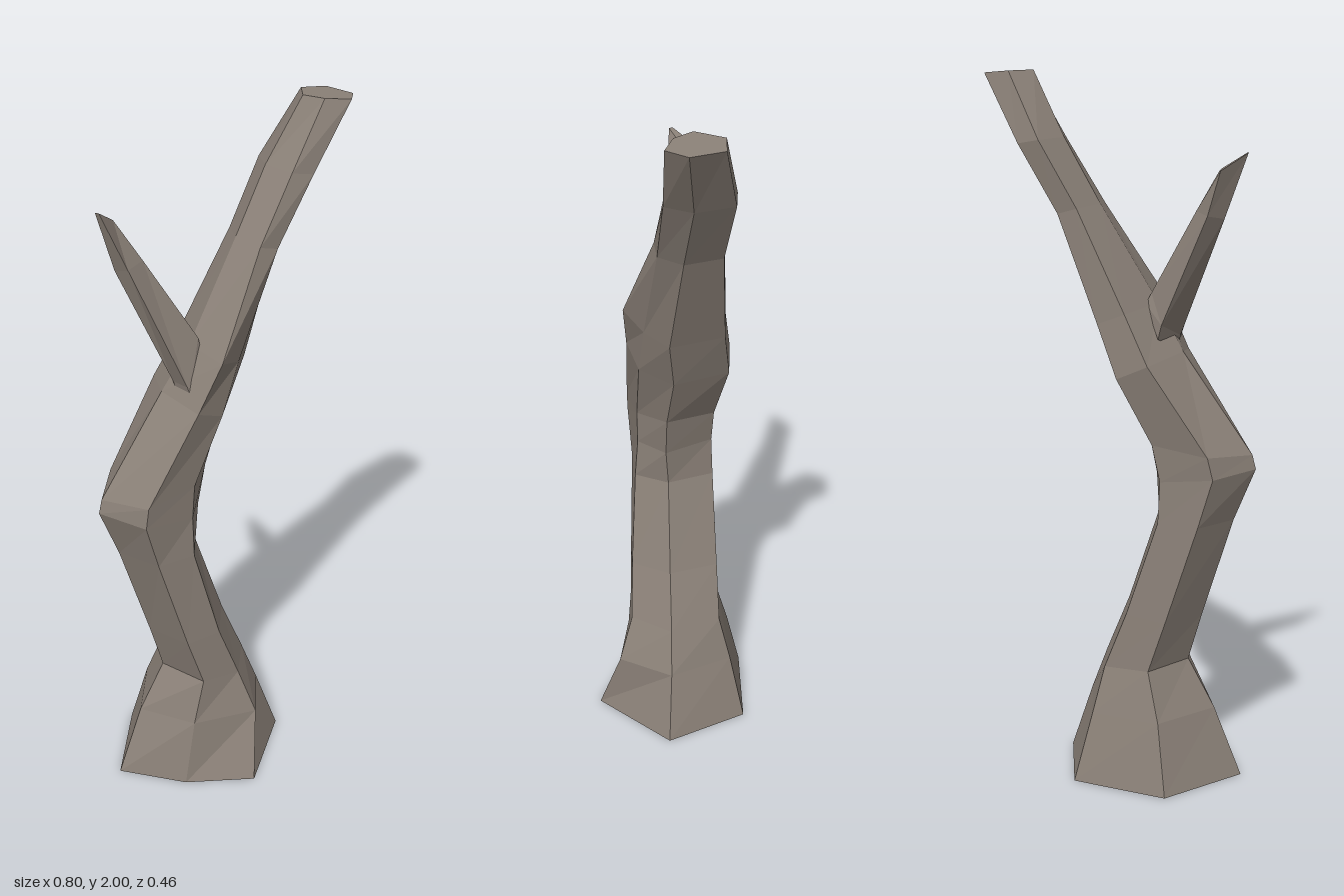
import * as THREE from 'three';

const bark = new THREE.MeshStandardMaterial({ color: 0x8b8178, flatShading: true, roughness: 1 });

// Closed skin over rings of points (each ring counter-clockwise seen from its far end)
function loft(rings, name) {
  const n = rings[0].length, pos = [], index = [];
  rings.forEach(r => r.forEach(p => pos.push(...p)));
  for (let j = 0; j < rings.length - 1; j++) {
    for (let i = 0; i < n; i++) {
      const a = j * n + i, b = j * n + (i + 1) % n;
      index.push(a, b, b + n, a, b + n, a + n);
    }
  }
  const top = (rings.length - 1) * n;
  for (let i = 1; i < n - 1; i++) {
    index.push(0, i + 1, i, top, top + i, top + i + 1);
  }
  const indexed = new THREE.BufferGeometry();
  indexed.setAttribute('position', new THREE.Float32BufferAttribute(pos, 3));
  indexed.setIndex(index);
  const geo = indexed.toNonIndexed();
  geo.computeVertexNormals();
  const mesh = new THREE.Mesh(geo, bark);
  mesh.name = name;
  return mesh;
}

// Six-sided section: left and right ends, front and back depth,
// position across of the two front corners, and their share of the front depth
function section([xl, yl, xr, yr, zf, zb, u1, u2, w1, w2]) {
  const at = (u, z) => [xl + (xr - xl) * u, yl + (yr - yl) * u, z];
  const mid = (zf + zb) / 2;
  return [
    at(0, mid), at(u1, zf * w1), at(u2, zf * w2),
    at(1, mid + 0.02), at(0.8, zb * 0.95), at(0.28, zb),
  ];
}

export function createModel() {
  const group = new THREE.Group();
  group.name = 'deadTree';

  // Flared foot, leaning stem, knee and upper limb
  const trunk = [
    [-0.37, 0.00, 0.17, 0.00, 0.23, -0.23, 0.28, 0.63, 0.63, 1],
    [-0.29, 0.20, 0.10, 0.20, 0.165, -0.185, 0.28, 0.77, 0.8, 1],
    [-0.21, 0.34, 0.05, 0.33, 0.125, -0.15, 0.25, 0.70, 1, 1],
    [-0.25, 0.48, -0.02, 0.50, 0.12, -0.145, 0.25, 0.70, 1, 1],
    [-0.34, 0.77, -0.11, 0.77, 0.11, -0.135, 0.28, 0.78, 1, 0.95],
    [-0.40, 0.92, -0.10, 0.88, 0.12, -0.13, 0.28, 0.80, 1, 0.8],
    [-0.39, 0.96, -0.075, 1.00, 0.122, -0.135, 0.26, 0.75, 1, 0.8],
    [-0.19, 1.24, -0.01, 1.16, 0.125, -0.17, 0.20, 0.70, 1, 0.75],
    [-0.11, 1.37, 0.05, 1.31, 0.135, -0.15, 0.15, 0.65, 1, 0.6],
    [0.05, 1.64, 0.165, 1.61, 0.055, -0.13, 0.20, 0.70, 1, 0.9],
    [0.15, 1.82, 0.275, 1.80, 0.04, -0.15, 0.25, 0.75, 0.8, 1],
    [0.25, 2.00, 0.395, 1.99, 0.042, -0.11, 0.25, 0.72, 0.4, 1],
  ].map(section);
  group.add(loft(trunk, 'trunk'));

  // Side branch tapering to a slanted, broken tip
  const branch = [
    [[-0.16, 1.24, 0.02], [-0.15, 1.26, 0.07], [-0.09, 1.35, 0.03], [-0.085, 1.37, -0.04], [-0.14, 1.28, -0.09]],
    [[-0.17, 1.28, 0.01], [-0.155, 1.28, 0.065], [-0.10, 1.40, 0.025], [-0.10, 1.40, -0.035], [-0.15, 1.32, -0.09]],
    [[-0.31, 1.61, -0.04], [-0.29, 1.62, 0.0], [-0.235, 1.63, -0.025], [-0.235, 1.63, -0.055], [-0.28, 1.62, -0.095]],
    [[-0.368, 1.785, -0.02], [-0.362, 1.785, -0.01], [-0.305, 1.745, -0.05], [-0.302, 1.74, -0.062], [-0.315, 1.74, -0.095]],
  ];
  group.add(loft(branch, 'branch'));

  return group;
}
